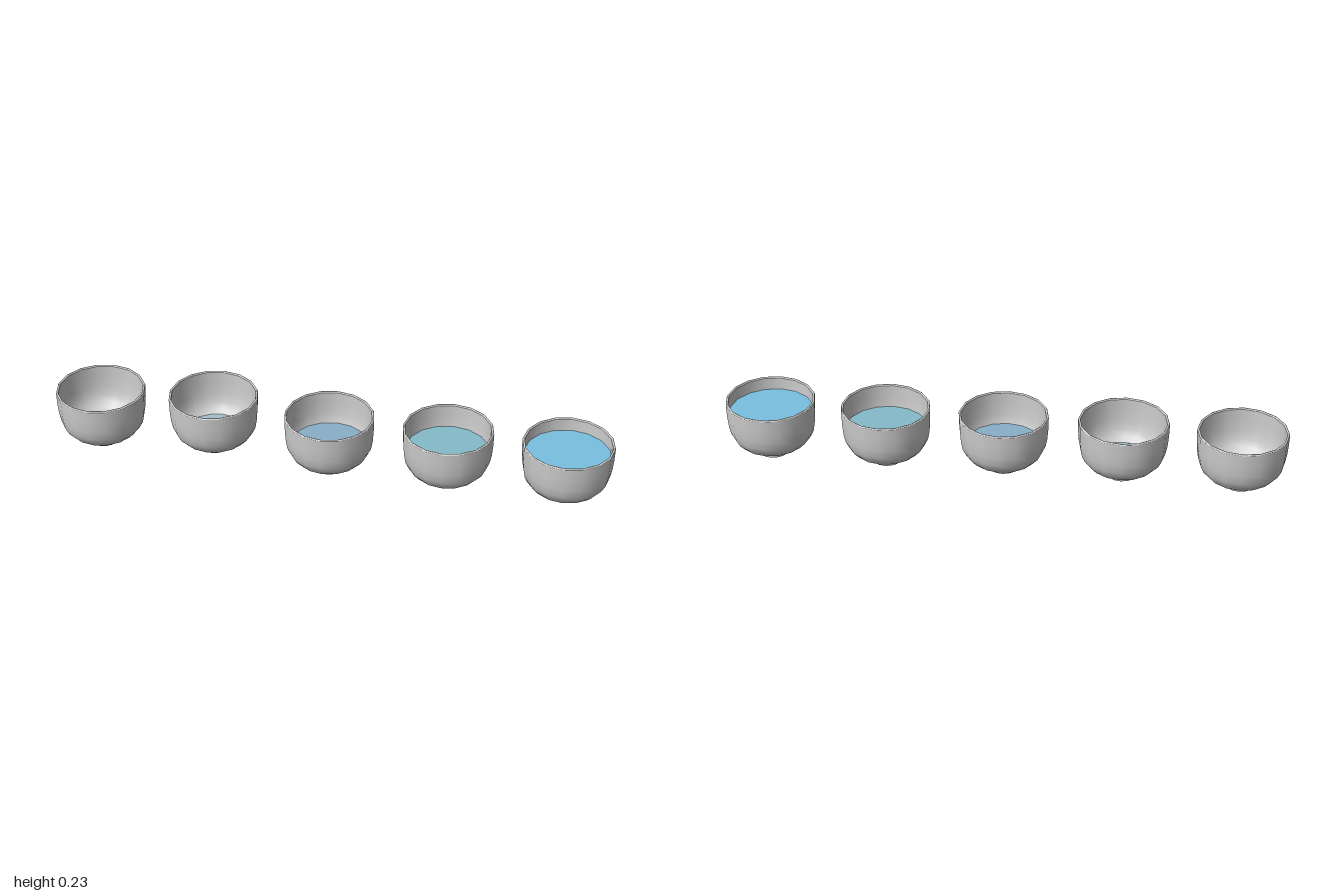
import * as THREE from 'three';
import { mergeGeometries } from 'three/addons/utils/BufferGeometryUtils.js';

const SIDES = 16;

// Outer wall and inner wall profiles as [radius, height], bottom to top
const OUTER = [[0.058, 0.025], [0.075, 0.027], [0.098, 0.034], [0.12, 0.047], [0.138, 0.067],
  [0.15, 0.092], [0.156, 0.125], [0.159, 0.165], [0.16, 0.213]];
const INNER = [[0, 0.031], [0.04, 0.032], [0.07, 0.036], [0.094, 0.044], [0.113, 0.056],
  [0.13, 0.073], [0.142, 0.096], [0.148, 0.128], [0.151, 0.168], [0.152, 0.213]];

// Each strip keeps its own normals, so edges between strips stay sharp
const strip = (points) =>
  new THREE.LatheGeometry(points.map(([r, y]) => new THREE.Vector2(r, y)), SIDES);

// Radius of the inner wall at a given height
function innerRadius(y) {
  for (let i = 1; i < INNER.length; i++) {
    const [r0, y0] = INNER[i - 1];
    const [r1, y1] = INNER[i];
    if (y <= y1) return r0 + (r1 - r0) * (y - y0) / (y1 - y0);
  }
  return INNER[INNER.length - 1][0];
}

function named(name, geometry, color) {
  const mesh = new THREE.Mesh(geometry, new THREE.MeshStandardMaterial({ color }));
  mesh.name = name;
  return mesh;
}

export function createModel() {
  const model = new THREE.Group();
  model.name = 'bowlRow';

  // Walls with a narrow bevelled rim
  const bodyGeometry = mergeGeometries([
    strip(OUTER),
    strip([[0.16, 0.213], [0.158, 0.217], [0.154, 0.217], [0.152, 0.213]]),
    strip([...INNER].reverse()),
  ]);

  // Hollow foot ring with softened lower edges
  const footGeometry = mergeGeometries([
    strip([[0, 0.016], [0.045, 0.016]]),
    strip([[0.045, 0.016], [0.046, 0.003], [0.048, 0]]),
    strip([[0.048, 0], [0.055, 0]]),
    strip([[0.055, 0], [0.058, 0.004], [0.059, 0.026]]),
  ]);

  // Position, liquid level and liquid colour of every bowl
  const bowls = [
    { at: [-0.84, 0, 0], level: 0.0325, color: 0xb9cdd3 },
    { at: [-0.425, 0.018, -0.013], level: 0.057, color: 0xa6bfcd },
    { at: [0, 0, 0.01], level: 0.092, color: 0x89b0c9 },
    { at: [0.422, 0, 0.01], level: 0.128, color: 0x84bcc8 },
    { at: [0.84, 0, 0.013], level: 0.168, color: 0x78c0e0 },
  ];

  bowls.forEach(({ at, level, color }, i) => {
    const bowl = new THREE.Group();
    bowl.name = `bowl${i + 1}`;
    bowl.position.set(...at);
    bowl.add(named('body', bodyGeometry, 0xcccccc), named('foot', footGeometry, 0xcccccc));

    // Flat liquid surface reaching the inner wall
    const liquid = named('liquid', new THREE.CircleGeometry(innerRadius(level), SIDES), color);
    liquid.material.side = THREE.DoubleSide;
    liquid.rotation.x = -Math.PI / 2;
    liquid.position.y = level;
    bowl.add(liquid);
    model.add(bowl);
  });

  return model;
}
